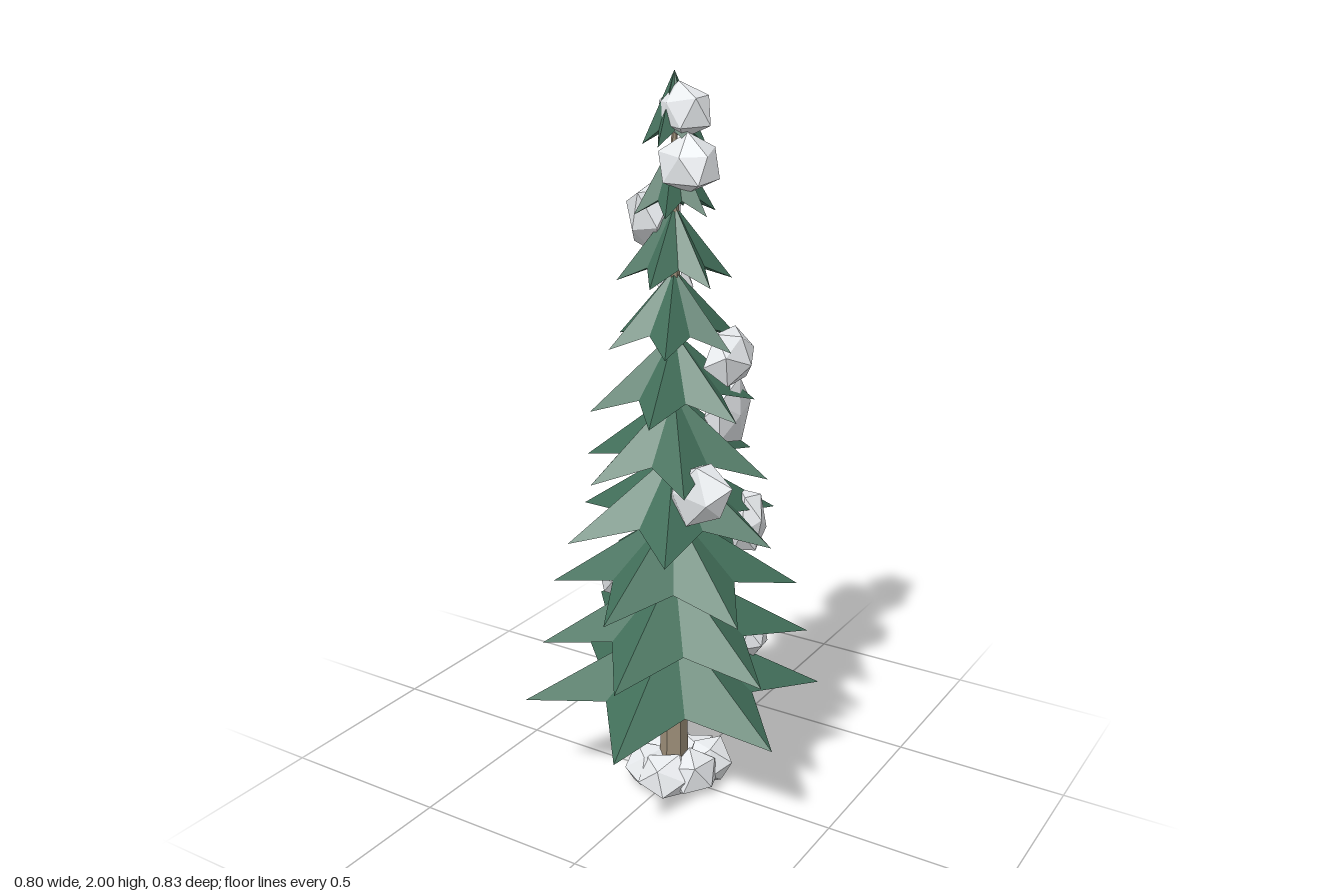
import * as THREE from 'three';

const mat = (color) => new THREE.MeshStandardMaterial({ color, flatShading: true, roughness: 0.9 });

// Small seeded generator so every lump is irregular but repeatable
function seeded(seed) {
  let s = seed * 7919 + 17;
  return () => (s = (s * 16807) % 2147483647) / 2147483647;
}

// One tier of boughs: a six-pointed star, ridged above and hollow below
function boughTier(tipY, radius, height, degrees, rand) {
  const ring = [];
  for (let i = 0; i < 12; i++) {
    const tip = i % 2 === 0;
    const a = THREE.MathUtils.degToRad(degrees + i * 30 + (rand() - 0.5) * 2);
    const r = radius * (tip ? 1 : 0.56) * (0.98 + rand() * 0.04);
    ring.push([r * Math.cos(a), tipY + (tip ? 0 : height * 0.2), r * Math.sin(a)]);
  }
  const apex = [0, tipY + height, 0];
  const hollow = [0, tipY + height * 0.26, 0];
  const pos = [];
  ring.forEach((p, i) => {
    const q = ring[(i + 1) % 12];
    pos.push(...apex, ...q, ...p, ...hollow, ...p, ...q);
  });
  const geo = new THREE.BufferGeometry();
  geo.setAttribute('position', new THREE.Float32BufferAttribute(pos, 3));
  geo.computeVertexNormals();
  return geo;
}

// Faceted snow lump fitted to a box of the given size, flattened where it meets the ground
function lump(center, size, seed) {
  const rand = seeded(seed);
  const geo = new THREE.IcosahedronGeometry(1, 0);
  geo.rotateX(rand() * 3).rotateY(rand() * 6);
  const pos = geo.attributes.position;
  const scales = new Map();
  const v = new THREE.Vector3();
  for (let i = 0; i < pos.count; i++) {
    v.fromBufferAttribute(pos, i);
    const key = v.toArray().map((n) => Math.round(n * 100)).join();
    if (!scales.has(key)) scales.set(key, 0.82 + rand() * 0.36);
    v.multiplyScalar(scales.get(key));
    pos.setXYZ(i, v.x, v.y, v.z);
  }
  geo.center();
  geo.computeBoundingBox();
  const box = geo.boundingBox.getSize(new THREE.Vector3());
  geo.scale(size[0] / box.x, size[1] / box.y, size[2] / box.z);
  geo.translate(...center);
  for (let i = 0; i < pos.count; i++) pos.setY(i, Math.max(0, pos.getY(i)));
  geo.computeVertexNormals();
  return geo;
}

export function createModel() {
  const model = new THREE.Group();
  const green = mat(0x426f5a);
  const bark = mat(0x9c8e78);
  const snow = mat(0xe6e9ec);
  const add = (parent, name, geo, material) => {
    const mesh = new THREE.Mesh(geo, material);
    mesh.name = name;
    parent.add(mesh);
  };

  // Tapered trunk running up through the tiers
  const trunk = new THREE.CylinderGeometry(0.007, 0.042, 1.88, 6);
  trunk.translate(0, 0.95, 0);
  add(model, 'trunk', trunk, bark);

  // Tiers of boughs: [radius, turn in degrees], from the bottom up
  const boughs = new THREE.Group();
  boughs.name = 'boughs';
  model.add(boughs);
  const tiers = [
    [0.425, 21], [0.375, 22], [0.342, 30], [0.31, 2], [0.265, -8],
    [0.228, 14], [0.185, 5], [0.152, 22], [0.11, 10], [0.08, 28],
  ];
  tiers.forEach(([radius, turn], i) => {
    const height = 0.23 - i * 0.0055;
    add(boughs, `boughTier${i + 1}`,
      boughTier(0.28 + i * 0.171, radius, height, turn, seeded(i + 3)), green);
  });

  // Snow lumps resting on the boughs: centre, then size
  const clumps = new THREE.Group();
  clumps.name = 'boughSnow';
  model.add(clumps);
  [
    [[0.035, 1.905, 0.01], [0.15, 0.14, 0.09]],
    [[0.055, 1.78, 0.015], [0.15, 0.15, 0.12]],
    [[-0.082, 1.625, -0.04], [0.13, 0.18, 0.18]],
    [[-0.05, 1.44, -0.085], [0.1, 0.11, 0.1]],
    [[0.13, 1.27, -0.075], [0.12, 0.14, 0.16]],
    [[0.09, 1.11, -0.115], [0.11, 0.19, 0.16]],
    [[0.145, 0.94, 0.105], [0.19, 0.17, 0.09]],
    [[0.14, 0.775, -0.165], [0.1, 0.17, 0.1]],
    [[-0.165, 0.605, 0.02], [0.14, 0.13, 0.11]],
    [[0.165, 0.44, -0.145], [0.1, 0.12, 0.11]],
  ].forEach(([c, s], i) => add(clumps, `snowClump${i + 1}`, lump(c, s, i + 11), snow));

  // Ring of broad snow lumps heaped around the foot of the trunk
  const foot = new THREE.Group();
  foot.name = 'footSnow';
  model.add(foot);
  for (let i = 0; i < 7; i++) {
    const rand = seeded(i + 41);
    rand();
    const a = (i / 7) * Math.PI * 2 + 0.5;
    const top = 0.09 + rand() * 0.035;
    const center = [Math.cos(a) * 0.09, top - 0.075, Math.sin(a) * 0.08 - 0.02];
    add(foot, `footLump${i + 1}`,
      lump(center, [0.13 + rand() * 0.02, 0.15, 0.125 + rand() * 0.02], i + 61), snow);
  }
  return model;
}
